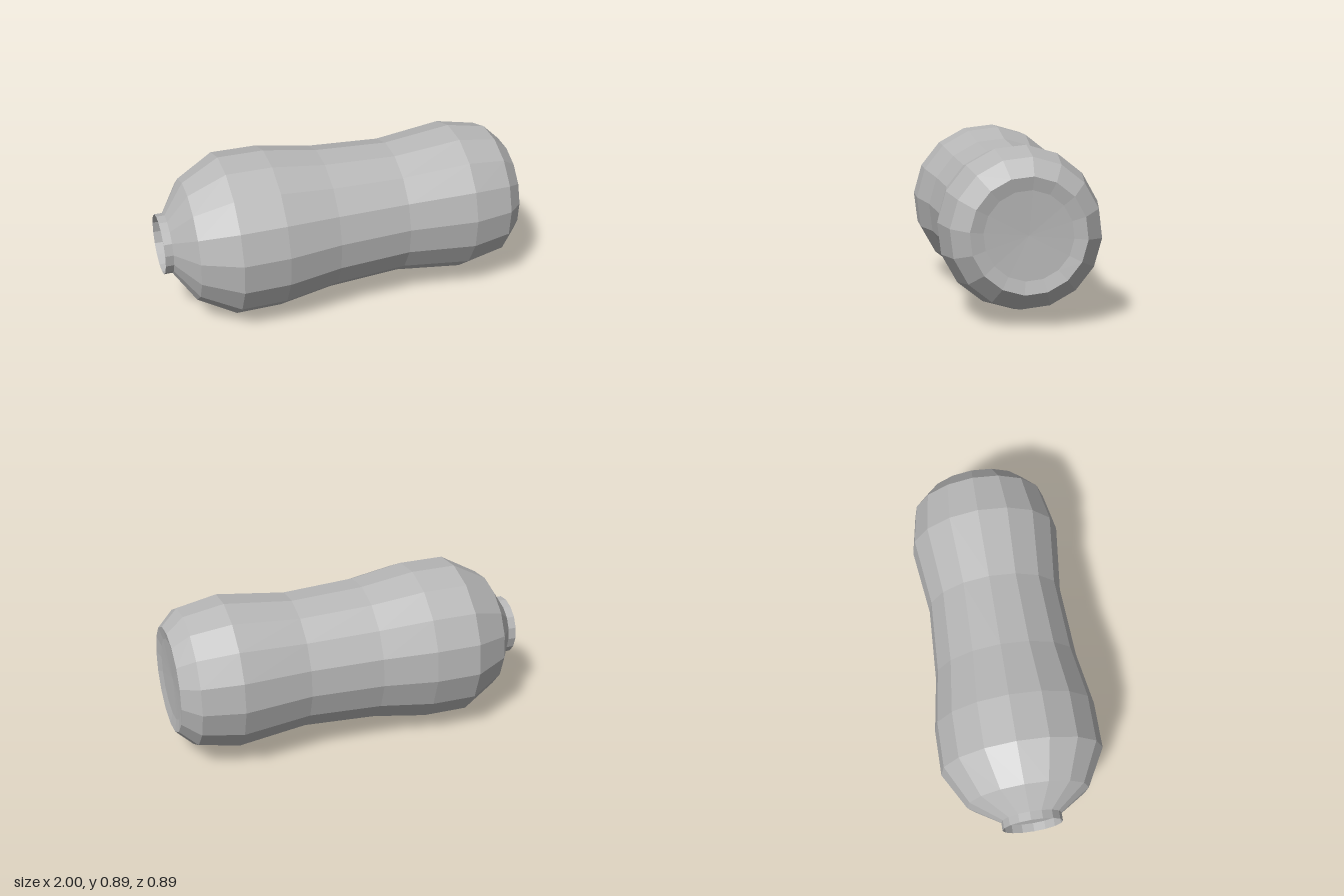
import * as THREE from 'three';

// Sixteen-sided bottle lying on its side, neck towards -x, base towards +x.
const SIDES = 16;
const TWIST = -0.08;

// Profiles are [radius, distance along the axis].
const neckProfile = [[0.163, -0.996], [0.163, -0.951]];
const bodyProfile = [
  [0.163, -0.951], [0.331, -0.842], [0.443, -0.64], [0.442, -0.39],
  [0.395, -0.095], [0.374, 0.305], [0.418, 0.68], [0.376, 0.9], [0.289, 0.991],
];
const baseProfile = [[0.289, 0.991], [0.222, 0.977], [0, 0.968]];
const capProfile = [[0, -0.951], [0.163, -0.951]];

export function createModel() {
  const group = new THREE.Group();
  group.name = 'bottle';

  const grey = new THREE.MeshStandardMaterial({ color: 0xb8b8b8, flatShading: true, side: THREE.DoubleSide });
  grey.name = 'light grey';

  // The axis leans slightly up and forwards from neck to base.
  const axis = new THREE.Vector3(1, 0.012, 0.0246).normalize();
  const side = new THREE.Vector3().crossVectors(axis, new THREE.Vector3(0, 1, 0)).normalize();
  const up = new THREE.Vector3().crossVectors(side, axis);
  const frame = new THREE.Matrix4().makeBasis(side, axis, up).setPosition(0, 0.45, 0.0095);

  const addTurned = (name, profile) => {
    const points = profile.map(([r, t]) => new THREE.Vector2(r, t));
    const geometry = new THREE.LatheGeometry(points, SIDES, TWIST).applyMatrix4(frame);
    const mesh = new THREE.Mesh(geometry, grey);
    mesh.name = name;
    group.add(mesh);
  };

  addTurned('neck', neckProfile);
  addTurned('neckFloor', capProfile);
  addTurned('body', bodyProfile);
  addTurned('base', baseProfile);
  return group;
}
